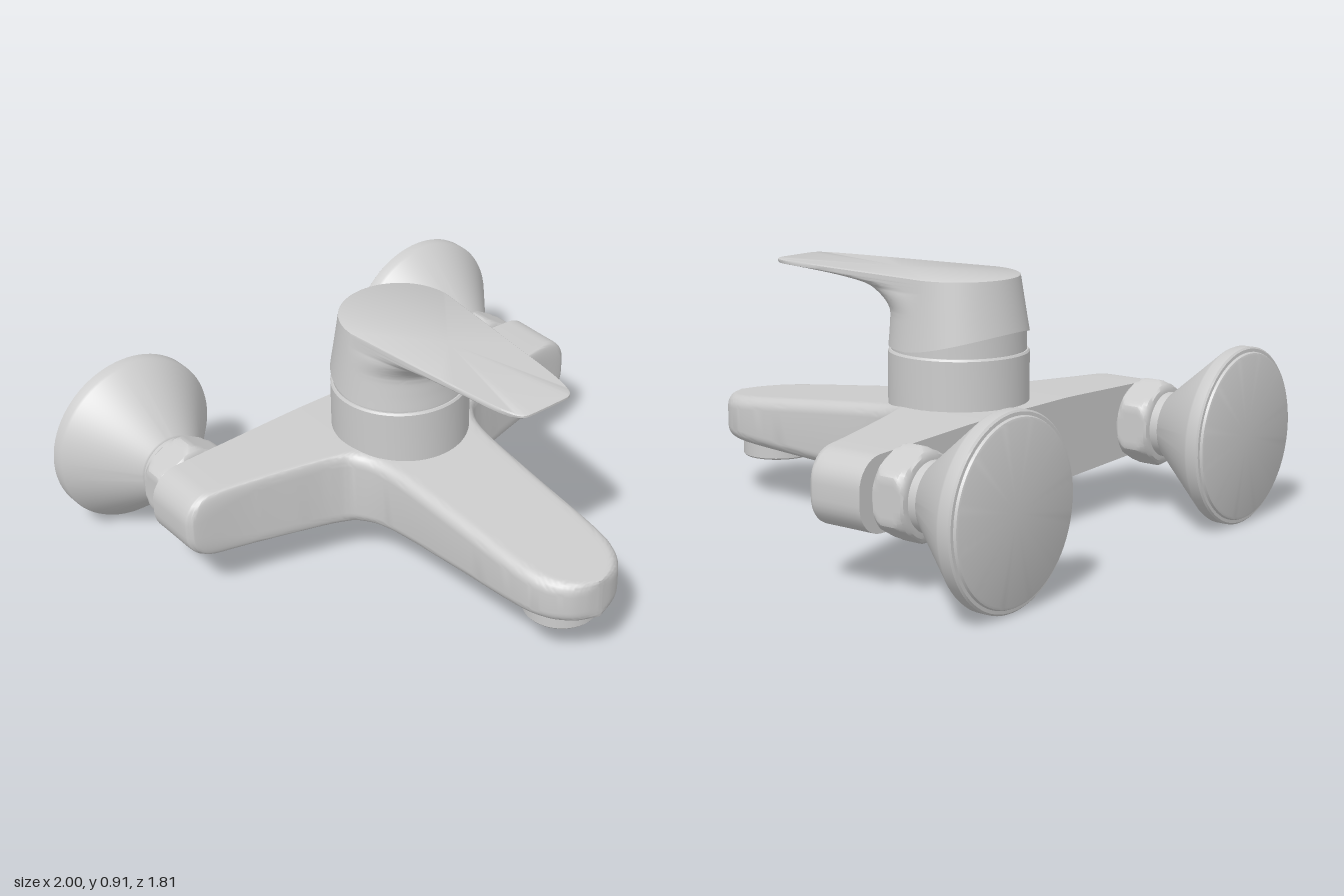
import * as THREE from 'three';
import { toCreasedNormals } from 'three/addons/utils/BufferGeometryUtils.js';

const { clamp, lerp, smoothstep } = THREE.MathUtils;
const V = (x, y, z) => new THREE.Vector3(x, y, z);
const material = new THREE.MeshStandardMaterial({ color: 0xcccccc });
const darkMaterial = new THREE.MeshStandardMaterial({ color: 0x111111 });

function part(name, geometry, crease = 0.6, mat = material) {
  const mesh = new THREE.Mesh(toCreasedNormals(geometry, crease), mat);
  mesh.name = name;
  return mesh;
}

// Skin over closed rings (counterclockwise about the direction of travel), capped at both ends
function loft(rings) {
  const n = rings[0].length, pts = rings.flat(), index = [];
  rings.slice(1).forEach((_, i) => {
    for (let j = 0; j < n; j++) {
      const k = (j + 1) % n, a = i * n;
      index.push(a + j, a + k, a + n + k, a + j, a + n + k, a + n + j);
    }
  });
  [0, rings.length - 1].forEach((r) => {
    const c = pts.length;
    pts.push(rings[r].reduce((s, p) => s.add(p), V(0, 0, 0)).divideScalar(n));
    for (let j = 0; j < n; j++) {
      const a = r * n + j, b = r * n + (j + 1) % n;
      index.push(c, ...(r ? [a, b] : [b, a]));
    }
  });
  const g = new THREE.BufferGeometry().setFromPoints(pts);
  g.setIndex(index);
  return g;
}

const lathe = (profile, segments = 64) =>
  new THREE.LatheGeometry(profile.map(([r, y]) => new THREE.Vector2(r, y)), segments);

// T-shaped body: rounded cross-sections from the wall side to the spout tip
function bodyGeometry() {
  const plan = new THREE.SplineCurve([
    [-0.44, 0.87], [-0.34, 0.87], [-0.25, 0.87], [-0.23, 0.86], [-0.217, 0.83],
    [-0.19, 0.66], [-0.15, 0.49], [-0.107, 0.34], [-0.06, 0.27], [0.06, 0.225],
    [0.35, 0.205], [0.67, 0.19], [0.79, 0.165], [0.86, 0.115], [0.89, 0.06], [0.9, 0],
  ].map(([z, w]) => new THREE.Vector2(z, w)));
  const slope = (z) => clamp(z + 0.1, 0, 1);
  const arm = (x) => clamp((x - 0.25) / 0.6, 0, 1);
  const top = (x, z) => 0.47 - 0.1 * slope(z) - 0.022 * arm(x);
  const bottom = (x, z) => 0.178 + 0.042 * slope(z) + 0.02 * arm(x);

  const rings = plan.getPoints(120).map(({ x: z, y }) => {
    const w = Math.max(y, 0);
    const ry = 0.045 + 0.055 * smoothstep(w, 0.6, 0.87);
    const rx = Math.min(ry, w * 0.8), flat = w - rx, half = [];
    for (let i = 0; i < 10; i++) half.push(V(flat * i / 10, bottom(flat * i / 10, z), z));
    for (let i = 0; i <= 8; i++) {
      const a = (i / 8 - 1) * Math.PI / 2, x = flat + rx * Math.cos(a);
      half.push(V(x, bottom(x, z) + ry * (1 + Math.sin(a)), z));
    }
    for (let i = 0; i <= 8; i++) {
      const a = i / 8 * Math.PI / 2, x = flat + rx * Math.cos(a);
      half.push(V(x, top(x, z) - ry * (1 - Math.sin(a)), z));
    }
    for (let i = 9; i >= 0; i--) half.push(V(flat * i / 10, top(flat * i / 10, z), z));
    const mirrored = half.slice(1, -1).reverse().map((p) => V(-p.x, p.y, p.z));
    return [...half, ...mirrored];
  });
  return loft(rings);
}

// Handle: round base whose front sweeps out into a flat tapering lever
function handleGeometry() {
  const cz = -0.15, n = 96;
  // height and front reach
  const sweep = new THREE.SplineCurve([
    [0.66, 0.095], [0.72, 0.092], [0.78, 0.095], [0.82, 0.12], [0.85, 0.165],
    [0.87, 0.23], [0.883, 0.35], [0.89, 0.48], [0.894, 0.605],
  ].map(([y, z]) => new THREE.Vector2(y, z))).getPoints(48).map((p) => [p.x, p.y, 0]);
  sweep.push([0.899, 0.614, 0], [0.906, 0.614, 0], [0.91, 0.608, 0.005]);

  const rings = sweep.map(([y, front, inset]) => {
    const up = (y - 0.66) / 0.25;
    const R = lerp(0.245, 0.212, up) - inset;
    const t = clamp((front - 0.095) / 0.51, 0, 1);
    const power = 2 / (2 + 7 * t);
    const taper = 0.38 * (front - cz) / 0.76 * Math.min(1, t * 6);
    return Array.from({ length: n }, (_, j) => {
      const a = j / n * Math.PI * 2, c = Math.cos(a), s = Math.sin(a);
      let x = R * s, z = cz + R * c;
      if (c > 1e-6) {
        const f = c ** power;
        z = cz + (front - cz) * f;
        x = R * Math.sign(s) * Math.abs(s) ** power * (1 - taper * f);
      }
      // the lower edge rises toward the back
      const lift = 0.065 * Math.max(0, (-0.1 - z) / 0.29) ** 1.5 * (1 - up);
      return V(x, y + lift, z);
    });
  });
  return loft(rings);
}

// Hexagonal nut with rounded, chamfered corners, along z
function nutGeometry() {
  const n = 72, flat = 0.141;
  const stations = [[-0.576, 0.122], [-0.573, 0.136], [-0.565, 0.146], [-0.55, 0.155], [-0.535, 0.159],
    [-0.485, 0.159], [-0.47, 0.155], [-0.455, 0.146], [-0.447, 0.136], [-0.444, 0.122]];
  return loft(stations.map(([z, limit]) => Array.from({ length: n }, (_, j) => {
    const a = j / n * Math.PI * 2, sector = Math.PI / 3;
    const r = Math.min(limit, flat / Math.cos(a % sector - sector / 2));
    // sector centre lies at 30 degrees, so corners point straight up and down after the turn
    const b = a - Math.PI / 6;
    return V(r * Math.cos(b), r * Math.sin(b), z);
  })));
}

function wallConnection(side) {
  const group = new THREE.Group();
  group.name = side > 0 ? 'leftWallConnection' : 'rightWallConnection';
  group.add(part('nut', nutGeometry(), 0.5));

  const neck = new THREE.CylinderGeometry(0.117, 0.117, 0.22, 48).rotateX(Math.PI / 2);
  group.add(part('neck', neck.translate(0, 0, -0.53)));

  const flange = lathe([
    [0, -0.908], [0.288, -0.908], [0.296, -0.905], [0.3, -0.897], [0.311, -0.896], [0.317, -0.89],
    [0.317, -0.852], [0.313, -0.843], [0.124, -0.611], [0.118, -0.607], [0, -0.607],
  ], 80).rotateX(Math.PI / 2);
  group.add(part('wallFlange', flange));
  group.position.set(side * 0.683, 0.319, 0);
  return group;
}

export function createModel() {
  const model = new THREE.Group();
  model.name = 'wallMixerTap';
  model.add(part('body', bodyGeometry(), 0.7));

  // Cartridge housing and the neck under the handle
  const housing = part('cartridgeHousing', lathe([
    [0, 0.4], [0.246, 0.4], [0.246, 0.642], [0.241, 0.649], [0, 0.649],
  ]));
  const collar = part('cartridgeCollar', lathe([[0, 0.63], [0.236, 0.63], [0.236, 0.725], [0, 0.725]]));
  housing.position.z = collar.position.z = -0.15;
  model.add(housing, collar, part('leverHandle', handleGeometry(), 0.7));

  // Water outlet under the spout tip
  const outlet = part('outletRing', lathe([
    [0.1, 0.23], [0.1, 0.155], [0.105, 0.15], [0.127, 0.15], [0.131, 0.155], [0.131, 0.25],
  ], 48));
  const aerator = part('aerator', new THREE.CylinderGeometry(0.101, 0.101, 0.03, 48).translate(0, 0.215, 0), 0.6, darkMaterial);
  outlet.position.z = aerator.position.z = 0.71;
  model.add(outlet, aerator);

  for (const side of [1, -1]) model.add(wallConnection(side));
  return model;
}
